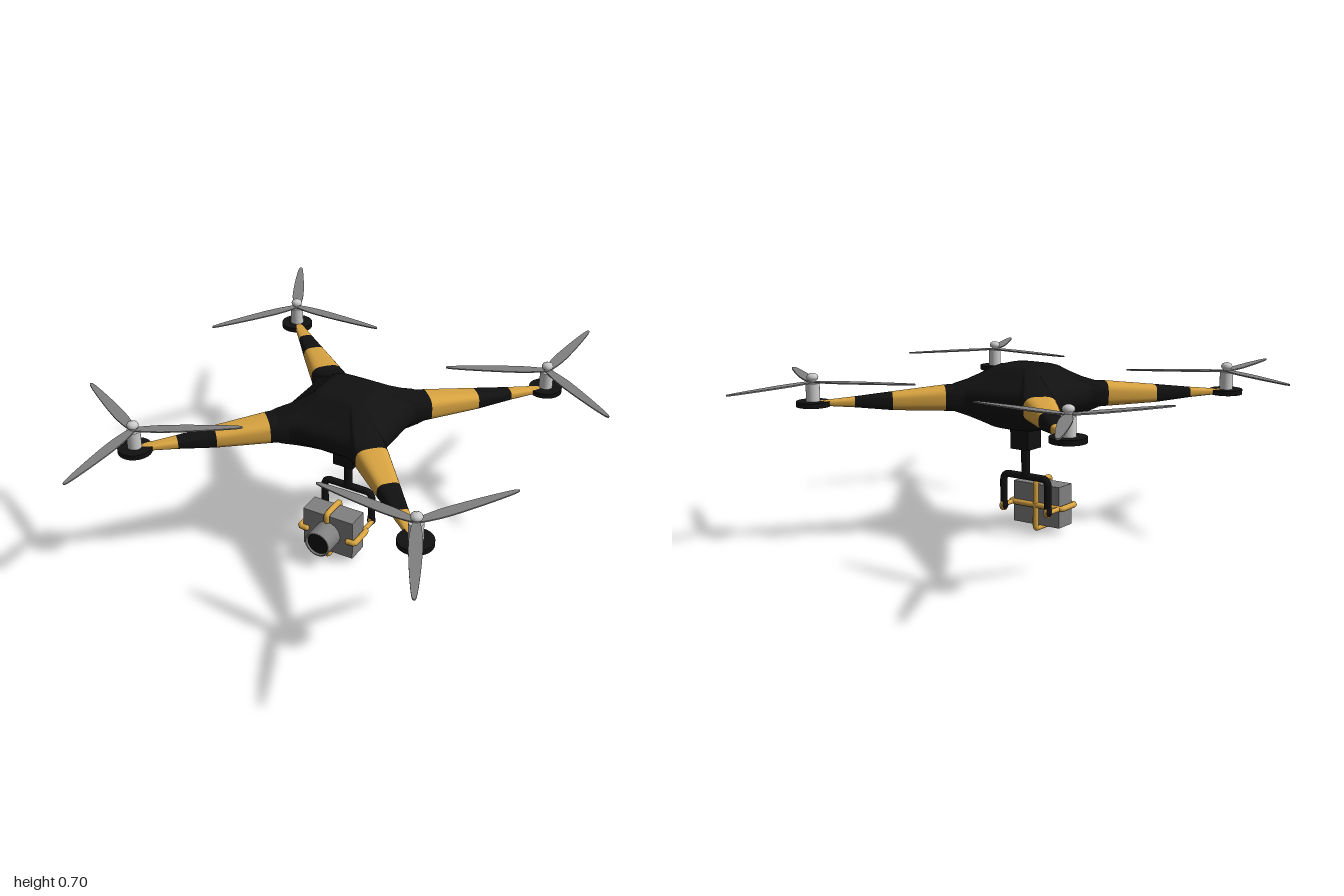
import * as THREE from 'three';

const V = (x, y, z) => new THREE.Vector3(x, y, z);
const mat = (color) => new THREE.MeshStandardMaterial({ color });

// Smooth skin through closed rings of equal point count.
function loft(rings) {
  const n = rings[0].length;
  const index = [];
  for (let i = 0; i < rings.length - 1; i++) {
    for (let j = 0; j < n; j++) {
      const a = i * n + j, b = i * n + (j + 1) % n;
      index.push(a, a + n, b, b, a + n, b + n);
    }
  }
  const geo = new THREE.BufferGeometry().setFromPoints(rings.flat());
  geo.setIndex(index);
  geo.computeVertexNormals();
  return geo;
}

// Polyline tube with rounded corners and ball ends.
function rod(points, radius, corner) {
  const path = new THREE.CurvePath();
  let from = points[0];
  for (let i = 1; i < points.length - 1; i++) {
    const p = points[i];
    const a = p.clone().add(points[i - 1].clone().sub(p).setLength(corner));
    const b = p.clone().add(points[i + 1].clone().sub(p).setLength(corner));
    path.add(new THREE.LineCurve3(from, a));
    path.add(new THREE.QuadraticBezierCurve3(a, p, b));
    from = b;
  }
  path.add(new THREE.LineCurve3(from, points[points.length - 1]));
  return new THREE.TubeGeometry(path, 80, radius, 12);
}

export function createModel() {
  const black = mat(0x111111), gold = mat(0xd9a441);
  const grey = mat(0x808080), metal = mat(0xcccccc);
  const root = new THREE.Group();
  root.name = 'drone';
  root.position.set(0.005, 0, -0.003);

  const add = (parent, name, geo, material, x = 0, y = 0, z = 0) => {
    const mesh = new THREE.Mesh(geo, material);
    mesh.name = name;
    mesh.position.set(x, y, z);
    parent.add(mesh);
    return mesh;
  };

  // Body: rounded square at the top and bottom, flaring into four arm roots
  const quarter = [[0.223, 0], [0.224, 0.09], [0.233, 0.14], [0.268, 0.187],
    [0.187, 0.268], [0.14, 0.233], [0.09, 0.224]];
  const outlinePts = [];
  for (let q = 0; q < 4; q++) {
    for (const [x, z] of quarter) {
      outlinePts.push(V(x, 0, -z).applyAxisAngle(V(0, 1, 0), q * Math.PI / 2));
    }
  }
  const outline = new THREE.CatmullRomCurve3(outlinePts, true).getPoints(112).slice(0, -1);
  const bodyRing = (scale, t, y) => outline.map((p) => {
    const k = 0.1 * scale / Math.pow(p.x ** 4 + p.z ** 4, 0.25);
    const f = k * (1 - t) + t;
    return V(p.x * f, y, p.z * f);
  });
  const bodyLevels = [[0, 0, 0.713], [0.7, 0, 0.713], [0.95, 0, 0.711], [1, 0.08, 0.704],
    [1, 0.3, 0.679], [1, 0.55, 0.655], [1, 0.8, 0.637], [1, 0.94, 0.622], [1, 1, 0.6],
    [1, 1, 0.575], [1, 0.94, 0.555], [1, 0.8, 0.538], [1, 0.55, 0.517], [1, 0.3, 0.493],
    [1, 0.08, 0.47], [0.95, 0, 0.463], [0.7, 0, 0.46], [0, 0, 0.46]];
  add(root, 'body', loft(bodyLevels.map((l) => bodyRing(...l))), black);

  // Arms: distance, half width, half height, centre height
  const stations = [[0.2, 0.075, 0.055, 0.588], [0.325, 0.065, 0.049, 0.588],
    [0.53, 0.045, 0.035, 0.582], [0.675, 0.03, 0.02, 0.582], [0.81, 0.018, 0.009, 0.581]];
  const bands = [['armRoot', black], ['armInnerBand', gold], ['armMiddleBand', black],
    ['armOuterBand', gold]];
  const armRing = ([d, w, h, y]) => Array.from({ length: 32 }, (_, j) => {
    const a = j / 32 * Math.PI * 2, c = Math.cos(a), s = Math.sin(a);
    const soft = (v) => Math.sign(v) * Math.pow(Math.abs(v), 0.65);
    return V(d, y + h * soft(s), w * soft(c));
  });

  // Propeller blade
  const bladeShape = new THREE.Shape();
  bladeShape.moveTo(0, -0.01);
  bladeShape.splineThru([[0.04, -0.018], [0.12, -0.024], [0.25, -0.02], [0.38, -0.01],
    [0.408, 0], [0.38, 0.01], [0.25, 0.02], [0.12, 0.024], [0.04, 0.018], [0, 0.01]]
    .map(([x, y]) => new THREE.Vector2(x, y)));
  const blade = new THREE.ExtrudeGeometry(bladeShape, { depth: 0.005, bevelEnabled: false, curveSegments: 40 });
  blade.rotateX(Math.PI / 2);

  // Spinner: neck and rounded cap
  const spinner = new THREE.LatheGeometry([[0.014, 0.655], [0.014, 0.67], [0.021, 0.676],
    [0.023, 0.684], [0.019, 0.693], [0.01, 0.698], [0, 0.7]]
    .map(([x, y]) => new THREE.Vector2(x, y)), 24);

  // Four arms, each with a motor and propeller
  const corners = [[1, 1, 184.5], [1, -1, -86], [-1, -1, 1.5], [-1, 1, 88.5]];
  for (const [sx, sz, bladeAngle] of corners) {
    const arm = new THREE.Group();
    arm.name = 'arm';
    arm.rotation.y = -Math.atan2(sz, sx);
    root.add(arm);
    bands.forEach(([name, material], i) =>
      add(arm, name, loft([armRing(stations[i]), armRing(stations[i + 1])]), material));

    const rotor = new THREE.Group();
    rotor.name = 'rotor';
    rotor.position.set(sx * 0.59, 0, sz * 0.59);
    root.add(rotor);
    add(rotor, 'motorMount', new THREE.CylinderGeometry(0.066, 0.066, 0.02, 40), black, 0, 0.58, 0);
    add(rotor, 'motor', new THREE.CylinderGeometry(0.027, 0.027, 0.07, 32), metal, 0, 0.625, 0);
    add(rotor, 'spinner', spinner, metal);
    for (let k = 0; k < 3; k++) {
      const b = add(rotor, 'propellerBlade', blade, grey, 0, 0.667, 0);
      b.rotation.y = -THREE.MathUtils.degToRad(bladeAngle + k * 120);
    }
  }

  // Gimbal hanging under the body
  const gimbal = new THREE.Group();
  gimbal.name = 'gimbal';
  root.add(gimbal);
  add(gimbal, 'gimbalMount', new THREE.BoxGeometry(0.088, 0.11, 0.088), black, 0, 0.428, 0);
  add(gimbal, 'gimbalPost', new THREE.CylinderGeometry(0.018, 0.017, 0.14, 20), black, 0, 0.32, 0);
  add(gimbal, 'gimbalYoke', rod([V(-0.109, 0.12, 0), V(-0.109, 0.256, 0),
    V(0.109, 0.256, 0), V(0.109, 0.12, 0)], 0.015, 0.03), black);
  for (const s of [-1, 1]) {
    add(gimbal, 'yokeEnd', new THREE.SphereGeometry(0.018, 20, 14), black, s * 0.109, 0.12, 0);
    const pivot = add(gimbal, 'pivot', new THREE.CylinderGeometry(0.022, 0.022, 0.012, 24), gold, s * 0.109, 0.12, 0);
    pivot.rotation.z = Math.PI / 2;
    add(gimbal, 'pivotLink', rod([V(s * 0.115, 0.12, 0), V(s * 0.115, 0.12, 0.08)], 0.01, 0), gold);
  }

  // Two clips gripping the camera from behind, one upright and one level
  const clip = (name, half, roll) => {
    const pts = [[half - 0.03, 0.175], [half, 0.175], [half, 0.072],
      [-half, 0.072], [-half, 0.175], [-half + 0.03, 0.175]].map(([x, z]) => V(x, 0, z));
    const group = new THREE.Group();
    group.name = name;
    group.position.y = 0.12;
    group.rotation.z = roll;
    gimbal.add(group);
    add(group, 'clipRod', rod(pts, 0.012, 0.012), gold);
    for (const p of [pts[0], pts[5]]) {
      add(group, 'clipTip', new THREE.SphereGeometry(0.012, 16, 12), gold, p.x, p.y, p.z);
    }
  };
  clip('levelClip', 0.126, 0);
  clip('uprightClip', 0.1, Math.PI / 2);

  // Camera with lens
  add(gimbal, 'cameraBody', new THREE.BoxGeometry(0.226, 0.172, 0.092), grey, 0, 0.122, 0.122);
  const barrel = new THREE.LatheGeometry([[0.056, 0.16], [0.056, 0.253], [0.047, 0.253], [0.047, 0.24]]
    .flatMap(([r, y]) => [new THREE.Vector2(r, y)]), 40);
  barrel.rotateX(Math.PI / 2);
  const barrelMat = mat(0x808080);
  barrelMat.side = THREE.DoubleSide;
  add(gimbal, 'lensBarrel', barrel, barrelMat, 0, 0.122, 0);
  add(gimbal, 'lensGlass', new THREE.CircleGeometry(0.048, 40), black, 0, 0.122, 0.246);

  return root;
}
